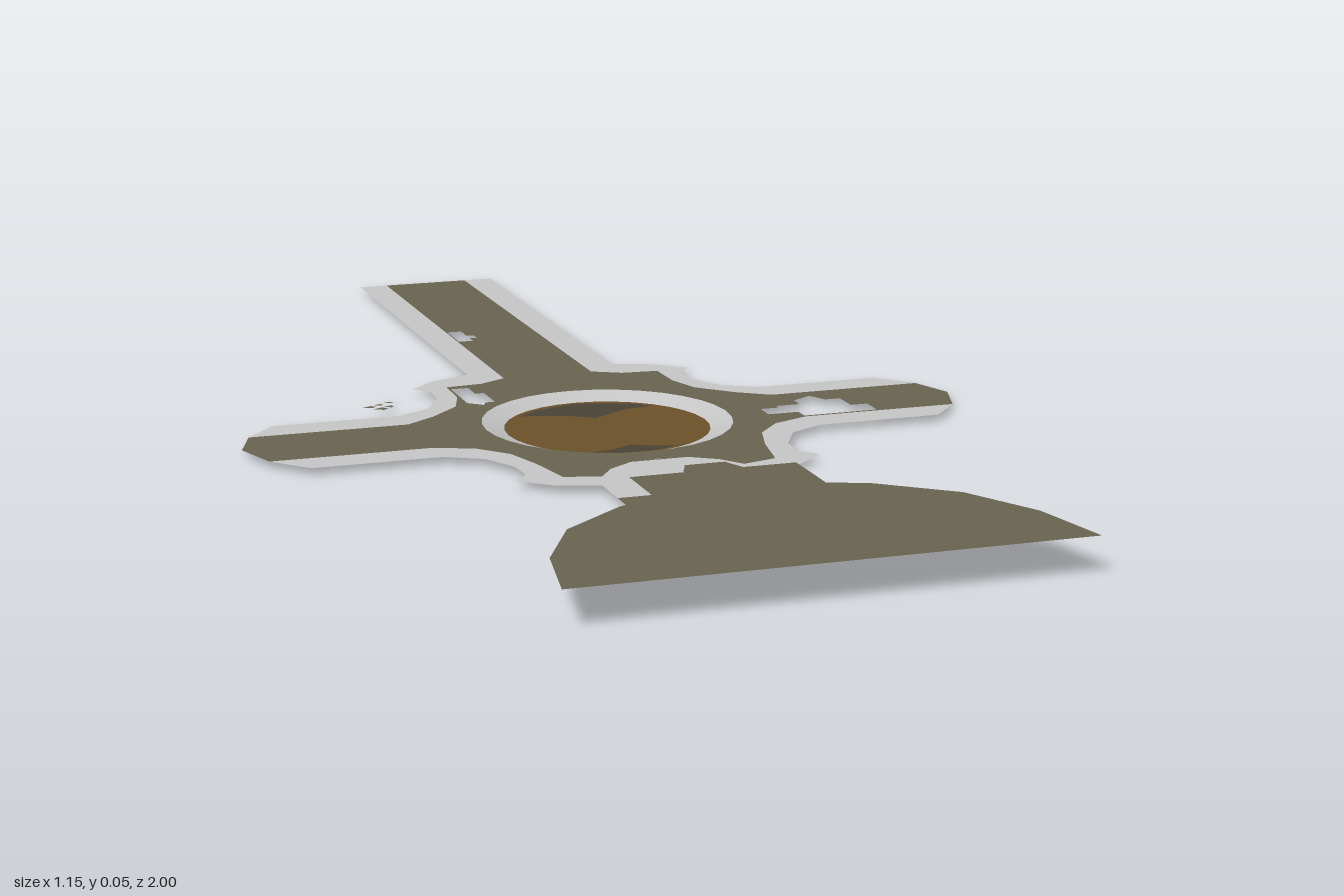
import * as THREE from 'three';

const FLOOR_Y = 0.011, FAN_Y = 0.055, CENTRE_Z = 0.07;

function material(name, color) {
  const m = new THREE.MeshStandardMaterial({ color, side: THREE.DoubleSide });
  m.name = name;
  return m;
}

// Points are [x, z] pairs on the plan, stored with z negated so the sheet faces up.
const toPoints = (pts) => pts.map(([x, z]) => new THREE.Vector2(x, -z));
const mirrorX = (pts) => pts.map(([x, z]) => [-x, z]);
// Closes a right-half outline with its mirror image.
const symmetric = (half) => [...half, ...mirrorX(half).reverse()];
const circle = (r, n = 32) => Array.from({ length: n }, (_, i) => {
  const a = (i / n) * Math.PI * 2;
  return [r * Math.cos(a), CENTRE_Z + r * Math.sin(a)];
});

function sheet(name, pts, y, mat, holes = []) {
  const shape = new THREE.Shape(toPoints(pts));
  for (const h of holes) shape.holes.push(new THREE.Path(toPoints(h)));
  const geo = new THREE.ShapeGeometry(shape);
  geo.rotateX(-Math.PI / 2);
  geo.translate(0, y, 0);
  const mesh = new THREE.Mesh(geo, mat);
  mesh.name = name;
  return mesh;
}

export function createModel() {
  const group = new THREE.Group();
  group.name = 'ruinedFloorPlan';
  const stone = material('olive stone', 0x68644f);
  const pale = material('pale grey', 0xc6c6c6);
  const mud = material('brown mud', 0x6b5229);
  const shade = material('dark brown', 0x4a4236);

  // Inner edges shared by the paving and its pale border
  const backInner = [[0.075, -1], [0.075, -0.24], [0.12, -0.215], [0.18, -0.21],
    [0.182, -0.14], [0.2, -0.085], [0.25, -0.035], [0.3, 0], [0.55, 0]];
  const frontInner = [[0.55, 0.145], [0.3, 0.145], [0.24, 0.17], [0.2, 0.215],
    [0.18, 0.28], [0.165, 0.36], [0.11, 0.375]];
  const landingArc = [[0.11, 0.375], [0.085, 0.34], [0.045, 0.313], [0, 0.305]];

  // Broken gaps in the paving
  const corridorGap = [[-0.073, -0.59], [-0.048, -0.59], [-0.048, -0.555], [-0.035, -0.555],
    [-0.035, -0.535], [-0.048, -0.535], [-0.048, -0.515], [-0.073, -0.515]];
  const cornerGap = [[-0.177, -0.195], [-0.148, -0.195], [-0.148, -0.155], [-0.133, -0.155],
    [-0.133, -0.095], [-0.148, -0.095], [-0.155, -0.08], [-0.177, -0.1]];
  const armGap = [[0.25, 0.08], [0.28, 0.08], [0.28, 0.07], [0.32, 0.07], [0.32, 0.045], [0.355, 0.025],
    [0.37, 0.055], [0.395, 0.055], [0.395, 0.1], [0.423, 0.1], [0.423, 0.14], [0.3, 0.14], [0.3, 0.115], [0.25, 0.115]];

  // Cross-shaped paving
  group.add(sheet('paving',
    symmetric([...backInner, [0.575, CENTRE_Z], ...frontInner, ...landingArc.slice(1, -1)]),
    FLOOR_Y, stone, [circle(0.195), corridorGap, cornerGap, armGap]));

  // Pale border strips, mirrored left and right
  const backBorder = [[0.125, -1], [0.125, -0.28], [0.19, -0.255], [0.235, -0.215], [0.212, -0.185],
    [0.215, -0.14], [0.245, -0.085], [0.3, -0.055], [0.5, -0.055], ...[...backInner].reverse()];
  const frontBorder = [[0.5, 0.2], [0.3, 0.2], [0.245, 0.23], [0.215, 0.285], [0.212, 0.33],
    [0.235, 0.36], [0.19, 0.4], [0.125, 0.42], ...[...frontInner].reverse()];
  for (const [name, pts] of [['backBorder', backBorder], ['frontBorder', frontBorder]]) {
    group.add(sheet(name + 'Left', pts, FLOOR_Y, pale));
    group.add(sheet(name + 'Right', mirrorX(pts), FLOOR_Y, pale));
  }

  // Rounded landing and its threshold
  group.add(sheet('landing', symmetric([...[...landingArc].reverse(), [0.125, 0.42], [0.125, 0.49]]),
    FLOOR_Y, pale));
  group.add(sheet('threshold', symmetric([[0.125, 0.49], [0.125, 0.54]]), FLOOR_Y, stone));

  // Raised forecourt with a notched tab
  group.add(sheet('forecourt', symmetric([[0.03, 0.505], [0.045, 0.54], [0.125, 0.54], [0.125, 0.65],
    [0.185, 0.675], [0.285, 0.755], [0.345, 0.87], [0.37, 1]]), FAN_Y, stone));

  // Sloping rim round the sunken basin
  const rim = new THREE.Mesh(new THREE.LatheGeometry(
    [new THREE.Vector2(0.195, FLOOR_Y), new THREE.Vector2(0.16, 0)], 32), pale);
  rim.position.z = CENTRE_Z;
  rim.name = 'basinRim';
  group.add(rim);

  // Basin floor with two dark patches
  const backPatch = [[-0.08, -0.06], [0, -0.085], [0.08, -0.06], [0.11, -0.035], [0.06, -0.025],
    [0, 0.012], [-0.04, -0.015], [-0.11, -0.035]];
  const frontPatch = symmetric([[0, 0.18], [0.035, 0.2], [0.07, 0.205], [0.03, 0.222]].slice(1));
  frontPatch.push([0, 0.18]);
  group.add(sheet('basinFloor', circle(0.16), 0, mud, [backPatch, frontPatch]));
  group.add(sheet('backPatch', backPatch, 0, shade));
  group.add(sheet('frontPatch', frontPatch, 0, shade));

  // Loose paving fragments
  for (const [x, z, s] of [[-0.325, -0.13, 0.014], [-0.308, -0.14, 0.01], [-0.31, -0.115, 0.016], [-0.29, -0.15, 0.01], [-0.295, -0.125, 0.012]]) {
    group.add(sheet('fragment', [[x - s, z], [x, z - s / 2], [x + s / 2, z], [x, z + s / 2]], FLOOR_Y - 0.002, stone));
  }
  return group;
}
